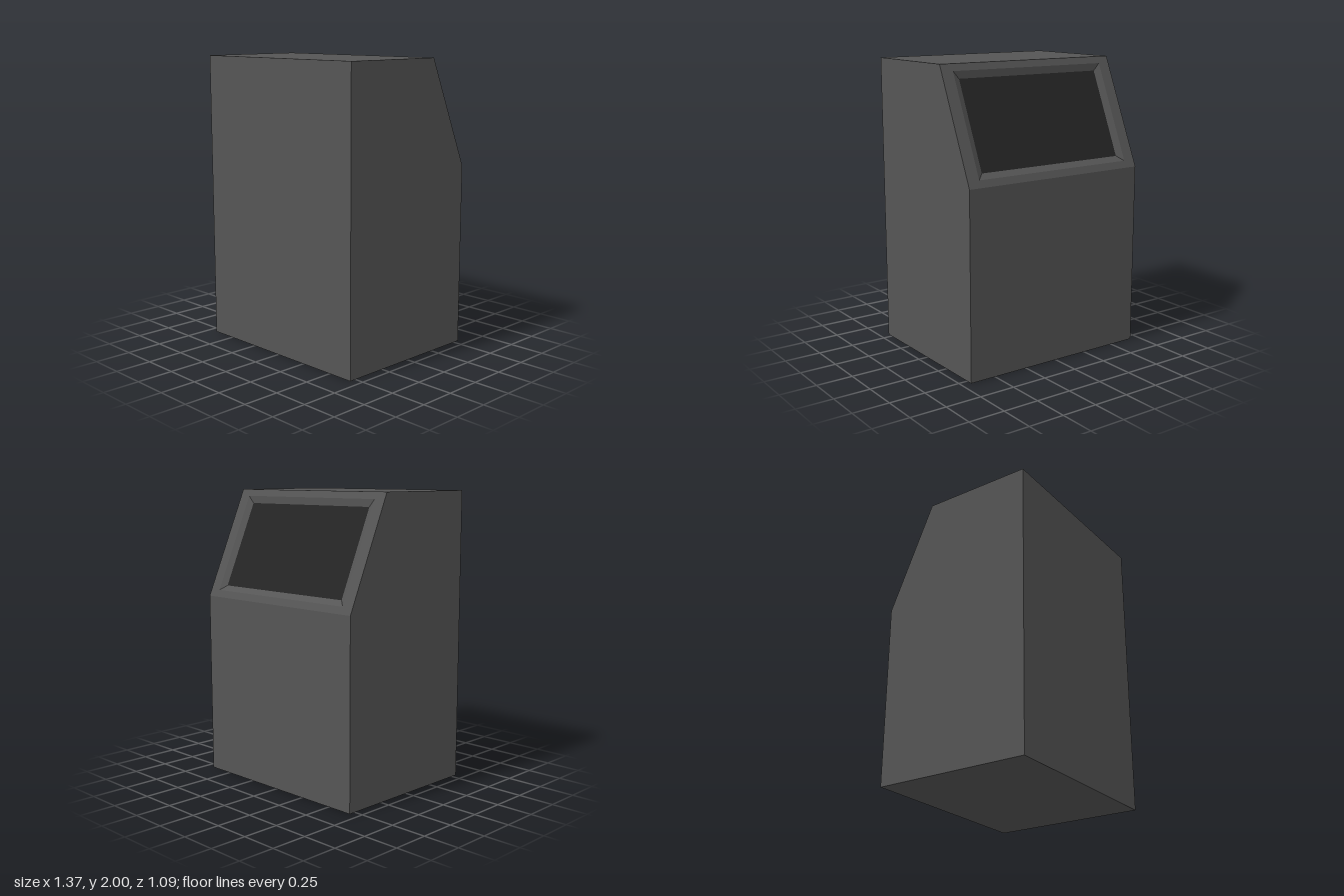
import * as THREE from 'three';

const W = 0.685; // half width
// Side profile as [z, y], counter-clockwise seen from +x
const PROFILE = [[0.546, 0], [-0.546, 0], [-0.546, 1.26], [-0.22, 2], [0.546, 2]];
const SLOPE_EDGE = 2; // profile edge that carries the display
const [LOW, HIGH] = [PROFILE[2], PROFILE[3]];
const SLOPE = Math.hypot(HIGH[0] - LOW[0], HIGH[1] - LOW[1]);
const DZ = (LOW[0] - HIGH[0]) / SLOPE, DY = (LOW[1] - HIGH[1]) / SLOPE;

// Rectangle on the slope: half width, margin from its ends, depth below it
function slopeLoop(halfWidth, margin, depth) {
  const at = (x, s) => [x, HIGH[1] + DY * s + DZ * depth, HIGH[0] + DZ * s - DY * depth];
  const end = SLOPE - margin;
  return [at(halfWidth, margin), at(halfWidth, end), at(-halfWidth, end), at(-halfWidth, margin)];
}

// Flat-faced mesh from convex polygons
function polygonMesh(name, polygons, material) {
  const positions = [];
  for (const p of polygons) {
    for (let i = 1; i < p.length - 1; i++) positions.push(...p[0], ...p[i], ...p[i + 1]);
  }
  const geometry = new THREE.BufferGeometry();
  geometry.setAttribute('position', new THREE.Float32BufferAttribute(positions, 3));
  geometry.computeVertexNormals();
  const mesh = new THREE.Mesh(geometry, material);
  mesh.name = name;
  return mesh;
}

// Four quads joining an outer loop to an inner one
const ring = (outer, inner) => outer.map((p, i) => {
  const j = (i + 1) % 4;
  return [p, outer[j], inner[j], inner[i]];
});

export function createModel() {
  const group = new THREE.Group();
  group.name = 'console';
  const shell = new THREE.MeshStandardMaterial({ color: 0x555555 });
  const glass = new THREE.MeshStandardMaterial({ color: 0x252525 });

  // Cabinet: two side panels and the walls between them, sloped wall left open
  const side = (x) => PROFILE.map(([z, y]) => [x, y, z]);
  const left = side(W), right = side(-W);
  const cabinet = [left, [...right].reverse()];
  left.forEach((p, i) => {
    const j = (i + 1) % left.length;
    if (i !== SLOPE_EDGE) cabinet.push([p, right[i], right[j], left[j]]);
  });
  group.add(polygonMesh('cabinet', cabinet, shell));

  // Display: flush frame, bevel sinking inwards, and dark screen
  const edge = slopeLoop(W, 0, 0);
  const opening = slopeLoop(0.6, 0.05, 0);
  const screen = slopeLoop(0.555, 0.095, 0.0215);
  group.add(polygonMesh('screenFrame', ring(edge, opening), shell));
  group.add(polygonMesh('screenBevel', ring(opening, screen), shell));
  group.add(polygonMesh('screen', [screen], glass));

  return group;
}
